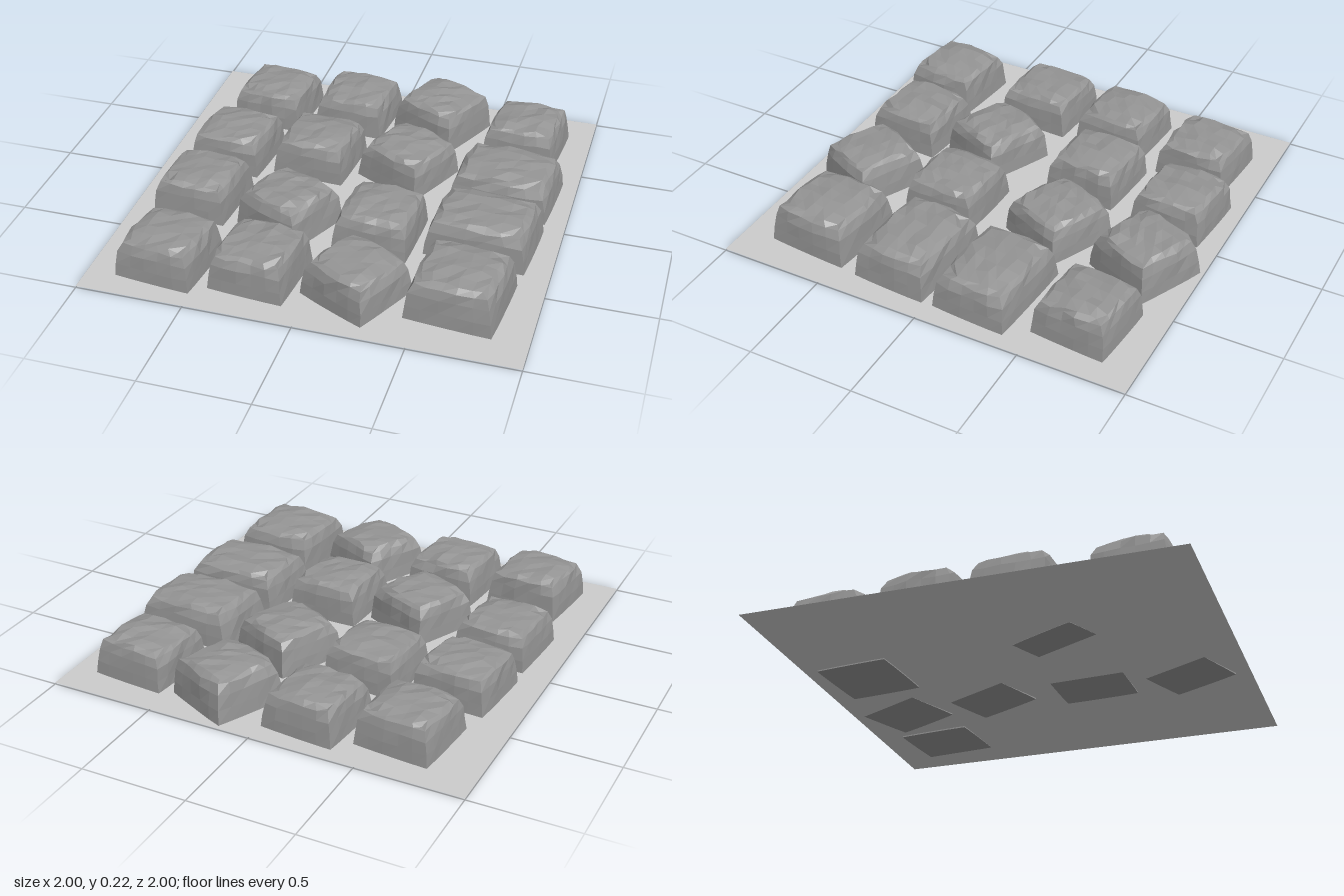
import * as THREE from 'three';

const stoneMaterial = new THREE.MeshStandardMaterial({ color: 0x949494, flatShading: true });

// Repeatable noise in [-1, 1] that agrees on shared corners of the box faces
function noise(x, y, z, seed) {
  const s = Math.sin(x * 12.99 + y * 78.23 + z * 37.72 + seed * 19.19) * 43758.5453;
  return (s - Math.floor(s)) * 2 - 1;
}

// Relative height and width of each ring, from base to top edge
const RING_HEIGHT = [0, 0.32, 0.64, 0.86, 0.95];
const RING_WIDTH = [1, 0.975, 0.945, 0.88, 0.77];

// Rounded, chipped cobble: a subdivided box pulled in ring by ring
function cobbleGeometry(width, height, depth, seed) {
  const geometry = new THREE.BoxGeometry(2, 4, 2, 5, 4, 5);
  const p = geometry.attributes.position;
  for (let i = 0; i < p.count; i++) {
    const u = Math.round(p.getX(i) * 100) / 100;
    const v = Math.round(p.getZ(i) * 100) / 100;
    const ring = Math.round(p.getY(i) + 2);
    const t = ring / 4;
    const edge = Math.max(Math.abs(u), Math.abs(v));
    const corner = Math.pow(Math.abs(u * v), 3);
    const pull = RING_WIDTH[ring] * (1 - corner * (0.015 + 0.1 * t * t));
    const chip = 0.009 * t;
    const x = u * pull * width / 2 + chip * noise(u, ring, v, seed);
    const z = v * pull * depth / 2 + chip * noise(v, ring, u, seed + 5);
    let y = RING_HEIGHT[ring];
    if (ring === 4) y += 0.06 * (1 - edge * edge) - 0.06 * corner;
    y = y * height + (ring ? 0.007 * t * noise(u, v, ring, seed + 9) : 0);
    p.setXYZ(i, x, y, z);
  }
  geometry.computeVertexNormals();
  return geometry;
}

// Each cobble: x, z, turn in degrees, width, depth, base, top, sideways tilt
const COBBLES = [
  [-0.62, -0.69, 5, 0.36, 0.36, 0.022, 0.205, 0],
  [-0.20, -0.74, 5, 0.36, 0.36, 0.014, 0.205, 0],
  [0.24, -0.75, 25, 0.36, 0.355, 0.018, 0.225, -0.02],
  [0.69, -0.68, 5, 0.36, 0.36, 0.017, 0.21, 0.02],
  [-0.68, -0.23, 5, 0.36, 0.36, 0.022, 0.205, 0],
  [-0.265, -0.275, 5, 0.36, 0.36, 0.023, 0.21, 0],
  [0.18, -0.29, 25, 0.36, 0.35, 0.018, 0.21, -0.03],
  [0.68, -0.23, 4, 0.48, 0.365, 0.023, 0.21, 0],
  [-0.70, 0.20, 4, 0.36, 0.365, 0.022, 0.205, 0],
  [-0.25, 0.26, 25, 0.36, 0.35, 0.02, 0.215, 0.01],
  [0.185, 0.245, 3, 0.36, 0.365, 0.018, 0.21, -0.03],
  [0.66, 0.18, 4, 0.48, 0.365, 0.023, 0.215, 0],
  [-0.665, 0.72, 6, 0.365, 0.36, 0.022, 0.215, 0],
  [-0.245, 0.69, 5, 0.36, 0.365, 0.022, 0.215, 0],
  [0.20, 0.695, 26, 0.36, 0.35, 0.018, 0.215, -0.03],
  [0.655, 0.635, 5, 0.405, 0.4, 0.022, 0.227, 0],
];

export function createModel() {
  const model = new THREE.Group();
  model.name = 'cobblePaving';

  // Thin ground sheet
  const ground = new THREE.Mesh(
    new THREE.PlaneGeometry(2, 2),
    new THREE.MeshStandardMaterial({ color: 0xcccccc, side: THREE.DoubleSide })
  );
  ground.name = 'groundSheet';
  ground.rotation.x = -Math.PI / 2;
  ground.position.y = 0.02;
  model.add(ground);

  // Four rows of four cobbles
  const cobbles = new THREE.Group();
  cobbles.name = 'cobbles';
  COBBLES.forEach(([x, z, turn, width, depth, base, top, tilt], i) => {
    const cobble = new THREE.Mesh(cobbleGeometry(width, top - base, depth, i + 1), stoneMaterial);
    cobble.name = `cobbleRow${Math.floor(i / 4) + 1}Column${(i % 4) + 1}`;
    cobble.position.set(x, base, z);
    cobble.rotation.set(0, -THREE.MathUtils.degToRad(turn), tilt);
    cobbles.add(cobble);
  });
  model.add(cobbles);
  return model;
}
